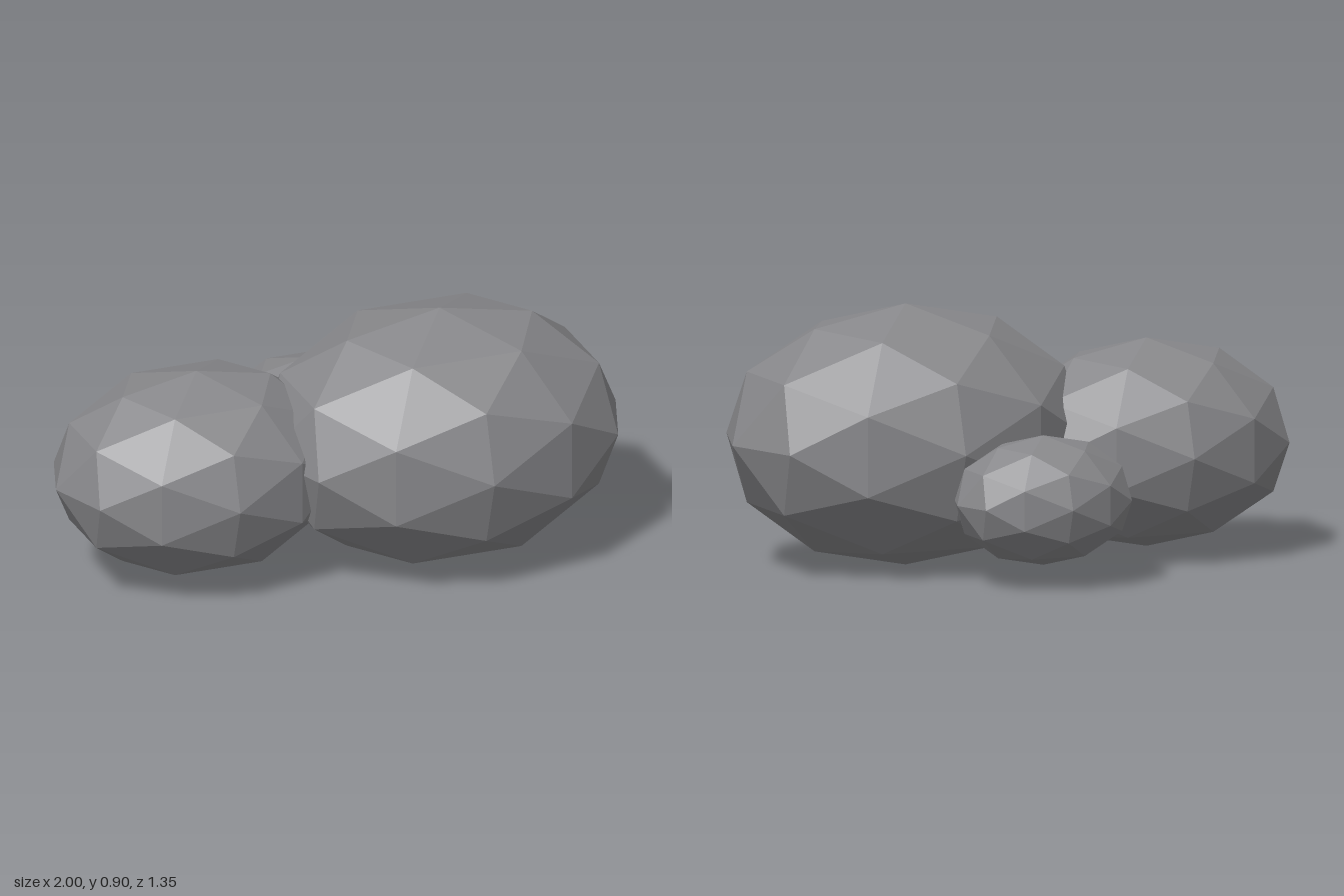
import * as THREE from 'three';

export function createModel() {
  const model = new THREE.Group();
  model.name = 'rockCluster';

  const stone = new THREE.MeshStandardMaterial({ color: 0x87878a, flatShading: true });
  stone.name = 'stone grey';

  // Every boulder is the same faceted ball, flattened in height and depth
  const addRock = (name, radius, x, y, z) => {
    const geometry = new THREE.IcosahedronGeometry(radius, 1);
    geometry.scale(1, 0.7, 0.8);
    const rock = new THREE.Mesh(geometry, stone);
    rock.name = name;
    rock.position.set(x, y, z);
    model.add(rock);
  };

  addRock('largeRock', 0.645, 0.355, 0.452, 0.16);
  addRock('mediumRock', 0.515, -0.485, 0.39, 0.03);
  addRock('smallRock', 0.32, 0.095, 0.293, -0.419);

  return model;
}
